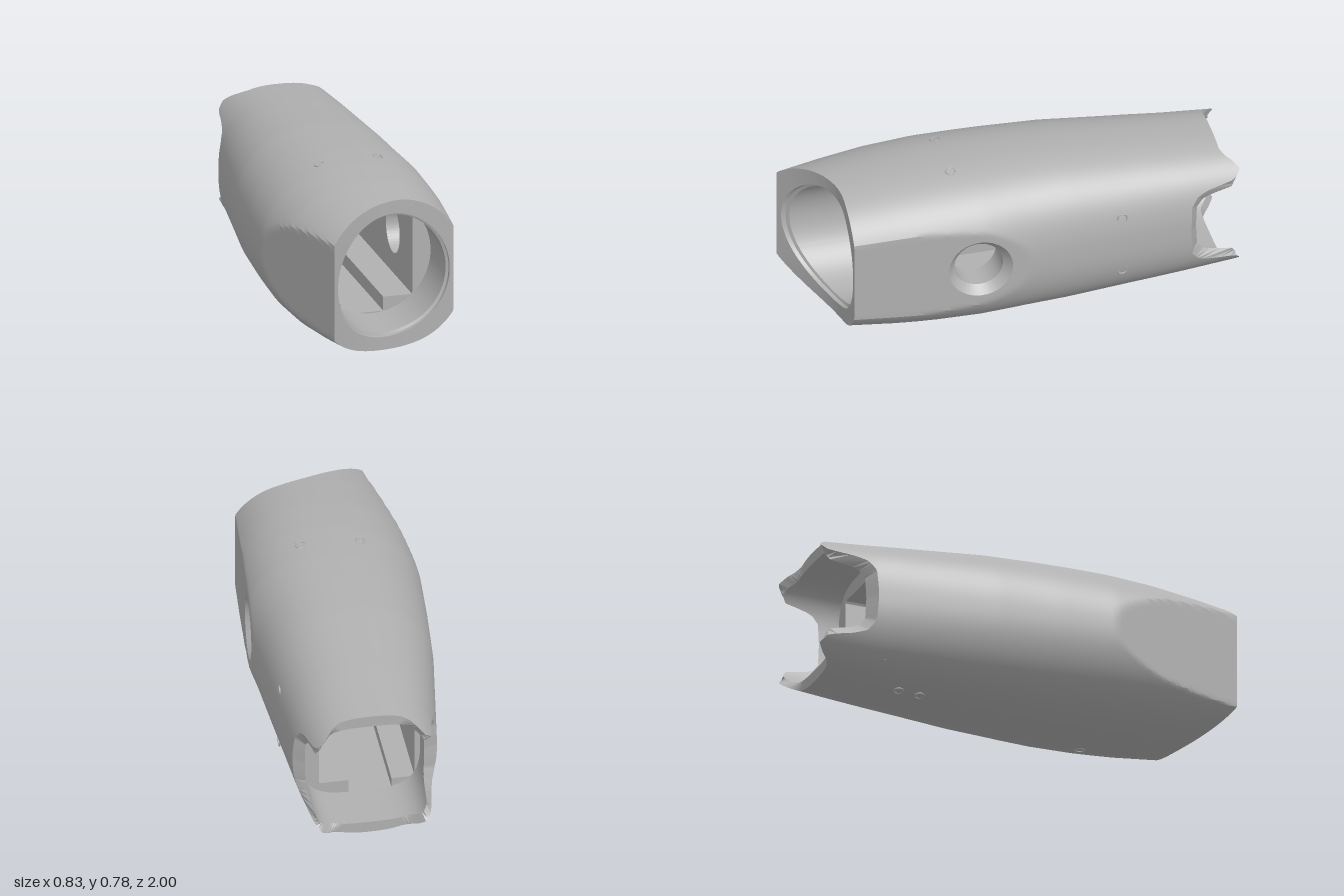
import * as THREE from 'three';
import { toCreasedNormals } from 'three/addons/utils/BufferGeometryUtils.js';

const CX = 0.045, CY = 0.393, N = 160;
const HOLE = { y: 0.395, z: 0.23 };
const flatX = z => 0.41 - 0.075 * z; // flat on the bored side

// Linear interpolation through [key, value] pairs with rising keys
function lookup(table, k) {
  if (k <= table[0][0]) return table[0][1];
  for (let i = 1; i < table.length; i++) {
    const [a, va] = table[i - 1], [b, vb] = table[i];
    if (k <= b) return va + (vb - va) * (k - a) / (b - a);
  }
  return table[table.length - 1][1];
}

const HEIGHT = [[-1, 0.315], [-0.92, 0.322], [-0.6, 0.35], [-0.2, 0.38], [0.05, 0.388], [0.2, 0.39], [0.4, 0.386], [0.6, 0.373], [0.81, 0.35], [1, 0.325]];
const LEFT = [[-1, 0.315], [-0.75, 0.335], [-0.2, 0.418], [0.1, 0.445], [0.36, 0.462], [0.6, 0.455], [0.81, 0.43], [1, 0.4]];
const RIGHT = [[-1, 0.3], [-0.75, 0.32], [0, 0.365], [0.2, 0.385], [0.5, 0.38], [0.81, 0.355], [1, 0.34]];
const POWER = [[-1, 2.6], [-0.5, 2.4], [0.2, 2.25], [1, 2.2]];

// Rear edge by distance from mid height: side notch, horn, then top lip
const OUTER_REAR = [[0, -0.75], [0.12, -0.757], [0.165, -0.79], [0.188, -0.85], [0.2, -0.92], [0.212, -0.97], [0.247, -1], [0.275, -0.97], [0.29, -0.943], [0.305, -0.925]];
const INNER_REAR = [[0, -0.785], [0.1, -0.79], [0.135, -0.82], [0.155, -0.87], [0.163, -0.95], [0.2, -0.975], [0.225, -0.96], [0.25, -0.925]];

// Point on a superellipse with separate left, right, up and down radii
function radius(t, wL, wR, hU, hD, n) {
  const c = Math.cos(t), s = Math.sin(t);
  return (Math.abs(c / (c > 0 ? wR : wL)) ** n + Math.abs(s / (s > 0 ? hU : hD)) ** n) ** (-1 / n);
}
const at = (t, r, z) => new THREE.Vector3(CX + r * Math.cos(t), CY + r * Math.sin(t), z);

// Outer skin, trimmed by the two side flats
function outer(t, z) {
  const h = lookup(HEIGHT, z), c = Math.cos(t);
  let r = radius(t, lookup(LEFT, z), lookup(RIGHT, z), h, h, lookup(POWER, z));
  if (c > 0.01) r = Math.min(r, (flatX(z) - CX) / c);
  if (c < -0.01) r = Math.min(r, (-0.415 + 0.24 * (z - 0.36) - CX) / c);
  return at(t, r, z);
}

// Curved scoop of the front edge
const frontZ = x => 0.805 + 0.193 * (Math.max(0, 0.17 - x) / 0.43) ** 1.8;
function outerFront(t) {
  let z = 0.85;
  for (let i = 0; i < 12; i++) z = frontZ(outer(t, z).x);
  return z;
}
function outerRear(t) {
  let z = -0.9;
  for (let i = 0; i < 6; i++) z = 0.5 * (z + lookup(OUTER_REAR, Math.abs(outer(t, -0.92).y - CY)));
  return lookup(OUTER_REAR, Math.abs(outer(t, -0.92).y - CY));
}

const ring = f => Array.from({ length: N }, (_, j) => f(j / N * Math.PI * 2));

// Skin through closed rings, with an optional round opening in the +x wall
function loft(rows, cut) {
  const pos = [], idx = [], inside = [];
  rows.forEach(row => row.forEach(p => {
    let hit = false;
    if (cut && p.x > 0.2) {
      const dy = p.y - HOLE.y, dz = p.z - HOLE.z, d = Math.hypot(dy, dz);
      if (d < cut.r) {
        hit = true;
        const k = cut.r / Math.max(d, 1e-4);
        p.set(0, HOLE.y + dy * k, HOLE.z + dz * k);
        p.x = cut.plane(p.z);
      }
    }
    inside.push(hit);
    pos.push(p.x, p.y, p.z);
  }));
  for (let i = 0; i < rows.length - 1; i++) for (let j = 0; j < N; j++) {
    const a = i * N + j, b = i * N + (j + 1) % N, c = a + N, d = b + N;
    if (inside[a] && inside[b] && inside[c] && inside[d]) continue;
    idx.push(a, c, b, b, c, d);
  }
  const g = new THREE.BufferGeometry();
  g.setAttribute('position', new THREE.Float32BufferAttribute(pos, 3));
  g.setIndex(idx);
  return toCreasedNormals(g, 0.45);
}

export function createModel() {
  const group = new THREE.Group();
  const grey = new THREE.MeshStandardMaterial({ color: 0xb0b0b0 });
  grey.name = 'plainGrey';
  const add = (name, geo) => {
    const m = new THREE.Mesh(geo, grey);
    m.name = name;
    group.add(m);
    return m;
  };

  // Outer shell: scooped front, even rings, notched rear
  const shell = [];
  for (let i = 0; i < 5; i++) shell.push(ring(t => outer(t, THREE.MathUtils.lerp(outerFront(t), 0.78, i / 5))));
  for (let i = 0; i <= 60; i++) shell.push(ring(t => outer(t, 0.78 - 1.5 * i / 60)));
  for (let i = 1; i <= 8; i++) shell.push(ring(t => outer(t, THREE.MathUtils.lerp(-0.72, outerRear(t), i / 8))));
  const frontEdge = shell[0].map(p => p.clone()), rearEdge = shell[shell.length - 1].map(p => p.clone());
  add('outerShell', loft(shell, { r: 0.145, plane: flatX }));

  // Rear pocket and its rim
  const pocket = (t, z) => at(t, radius(t, 0.27, 0.27, 0.267, 0.267, 3.5), z);
  const pocketEdge = ring(t => {
    const p = pocket(t, 0);
    p.z = lookup(INNER_REAR, Math.abs(p.y - CY));
    return p;
  });
  add('rearRim', loft([rearEdge, pocketEdge]));
  const channel = (t, z) => at(t, radius(t, 0.245, 0.19, 0.2, 0.268, 60), z);
  add('rearPocket', loft([pocketEdge, ring(t => pocket(t, -0.69)), ring(t => channel(t, -0.69))]));

  // Rectangular channel through the middle
  const walls = [];
  for (let i = 0; i <= 60; i++) walls.push(ring(t => channel(t, -0.69 + 1.23 * i / 60)));
  add('innerChannel', loft(walls, { r: 0.11, plane: () => 0.235 }));

  // Round front socket with a stepped lip
  const lip = (t, r, drop) => {
    const p = at(t, r, 0);
    p.z = frontZ(p.x) - drop;
    return p;
  };
  const lipEdge = ring(t => lip(t, 0.287, 0));
  add('frontSocket', loft([
    ring(t => channel(t, 0.54)), ring(t => at(t, 0.275, 0.54)),
    ring(t => lip(t, 0.275, 0.025)), ring(t => lip(t, 0.287, 0.02)), lipEdge,
  ]));
  add('frontRim', loft([lipEdge, frontEdge]));

  // Countersunk bore in the side flat
  const bore = (r, x) => ring(a => {
    const z = HOLE.z + r * Math.sin(a);
    return new THREE.Vector3(x(z), HOLE.y + r * Math.cos(a), z);
  });
  add('sideBore', loft([bore(0.11, () => 0.235), bore(0.11, z => flatX(z) - 0.04), bore(0.145, flatX)]));

  // Corner ledges along the channel floor
  for (const [name, x0, x1, top] of [['leftLedge', 0.1, 0.237, 0.19], ['rightLedge', -0.202, -0.095, 0.175]]) {
    const m = add(name, new THREE.BoxGeometry(x1 - x0, top - 0.12, 1.226));
    m.position.set((x0 + x1) / 2, (top + 0.12) / 2, -0.075);
  }

  // Screw hole rings on side, top and bottom
  const ringGeo = new THREE.TorusGeometry(0.021, 0.004, 6, 24);
  const screw = (t, z, rx, ry) => {
    const m = add('screwRing', ringGeo);
    m.position.copy(outer(t, z));
    m.rotation.set(rx, ry, 0);
  };
  for (const s of [-1, 1]) screw(s * Math.atan2(0.137, 0.315), -0.43, 0, Math.PI / 2);
  for (const x of [-0.13, 0.14]) screw(Math.atan2(0.37, x - CX), 0.305, Math.PI / 2, (CX - x) * 1.2);
  for (const [x, z] of [[0.12, 0.4], [-0.07, -0.46], [-0.07, -0.56]]) screw(Math.atan2(-0.36, x - CX), z, Math.PI / 2, (x - CX) * 1.2);

  return group;
}
